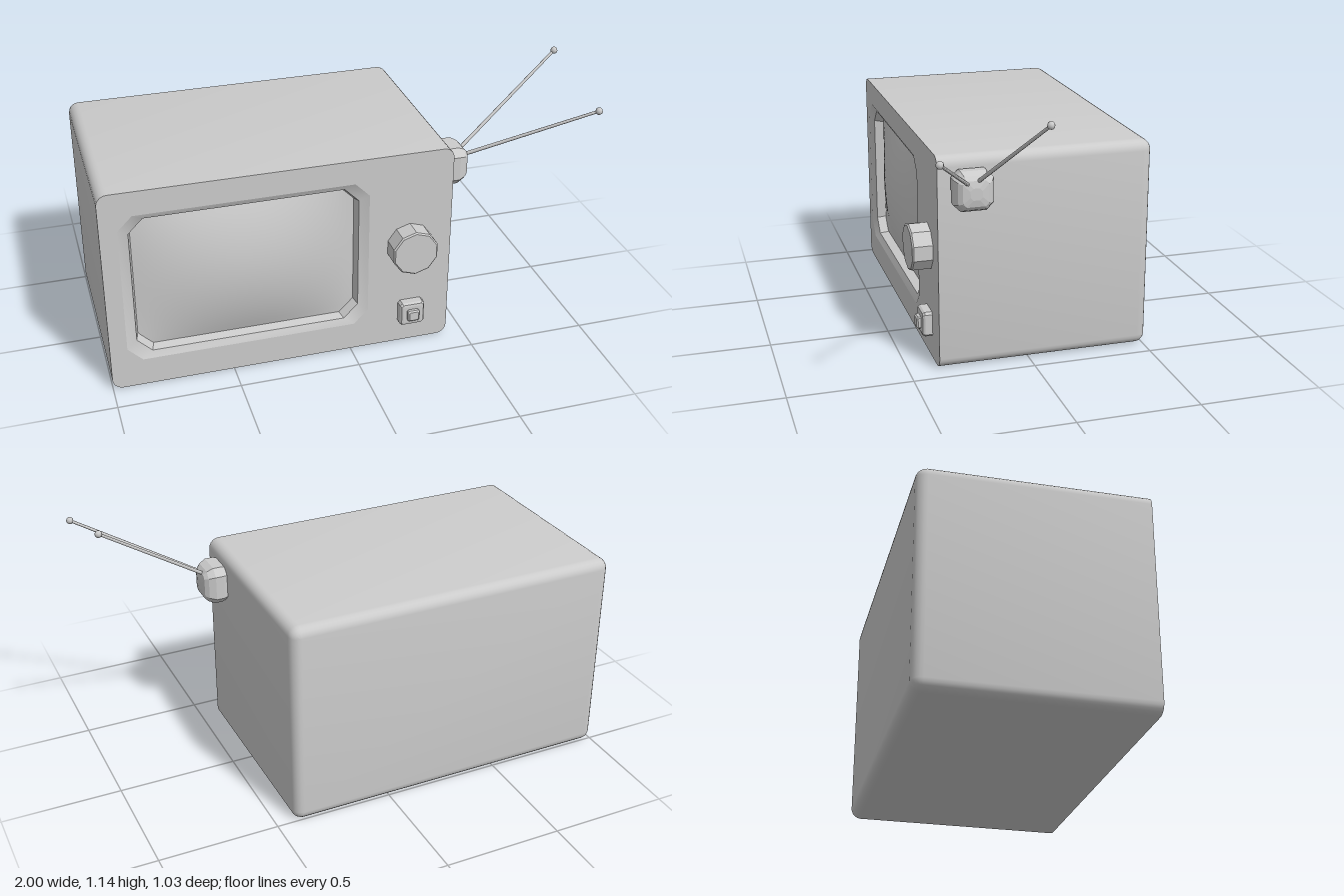
import * as THREE from 'three';
import { toCreasedNormals } from 'three/addons/utils/BufferGeometryUtils.js';

const material = new THREE.MeshStandardMaterial({ color: 0xcccccc });

function part(name, geometry, parent) {
  const mesh = new THREE.Mesh(geometry, material);
  mesh.name = name;
  parent.add(mesh);
  return mesh;
}

// Counter-clockwise rectangle with rounded corners (seg 1 gives a straight chamfer)
function roundRect(x0, x1, y0, y1, r, seg) {
  const corners = [[x1 - r, y0 + r], [x1 - r, y1 - r], [x0 + r, y1 - r], [x0 + r, y0 + r]];
  const points = [];
  corners.forEach(([cx, cy], k) => {
    for (let i = 0; i <= seg; i++) {
      const a = (k - 1 + i / seg) * Math.PI / 2;
      points.push(new THREE.Vector2(cx + r * Math.cos(a), cy + r * Math.sin(a)));
    }
  });
  return points;
}

// Skin over rings [{ points, z }] listed front to back, with optional end caps
function loft(rings, crease, capFront, capBack) {
  const position = [], index = [], n = rings[0].points.length;
  for (const { points, z } of rings) for (const p of points) position.push(p.x, p.y, z);
  for (let i = 0; i < rings.length - 1; i++) {
    for (let j = 0; j < n; j++) {
      const a = i * n + j, b = i * n + (j + 1) % n;
      index.push(a, a + n, b, b, a + n, b + n);
    }
  }
  const last = (rings.length - 1) * n;
  for (let j = 1; j < n - 1; j++) {
    if (capFront) index.push(0, j, j + 1);
    if (capBack) index.push(last, last + j + 1, last + j);
  }
  const geometry = new THREE.BufferGeometry();
  geometry.setAttribute('position', new THREE.Float32BufferAttribute(position, 3));
  geometry.setIndex(index);
  return toCreasedNormals(geometry, crease);
}

// Square block facing +z; steps are [half size, z, corner chamfer]
function block(steps) {
  return loft(steps.map(([h, z, c]) => ({ points: roundRect(-h, h, -h, h, c, 1), z })), 0.1, true, true);
}

export function createModel() {
  const model = new THREE.Group();
  model.name = 'television';
  const FRONT = 0.377, BACK = -0.512, R = 0.042, SEG = 5;
  const outline = (inset) => roundRect(-1 + inset, 0.428 - inset, inset, 0.885 - inset, R - inset + 0.001, SEG);

  // Cabinet: straight sides, rounded towards the back
  const rings = [{ points: outline(0), z: FRONT }];
  for (let i = 0; i <= SEG; i++) {
    const a = i / SEG * Math.PI / 2;
    rings.push({ points: outline(R * (1 - Math.cos(a))), z: BACK + R * (1 - Math.sin(a)) });
  }
  part('cabinet', loft(rings, 0.6, false, true), model);

  // Front panel with the screen opening
  const opening = roundRect(-0.93, 0.075, 0.12, 0.782, 0.06, 1);
  const panel = new THREE.Shape(outline(0));
  panel.holes.push(new THREE.Path(opening));
  part('frontPanel', new THREE.ShapeGeometry(panel), model).position.z = FRONT;

  // Sloping frame around the screen
  const DEPTH = 0.055;
  part('screenFrame', loft([
    { points: roundRect(-0.877, 0.025, 0.155, 0.75, 0.06, 1), z: FRONT - DEPTH },
    { points: roundRect(-0.888, 0.035, 0.147, 0.757, 0.06, 1), z: FRONT - 0.015 },
    { points: opening, z: FRONT },
  ], 0.7, false, false), model);

  // Bulging screen
  const screen = new THREE.PlaneGeometry(0.904, 0.597, 24, 18);
  const p = screen.attributes.position;
  for (let i = 0; i < p.count; i++) {
    const u = p.getX(i) / 0.452, v = p.getY(i) / 0.2985;
    p.setZ(i, (DEPTH + 0.004) * (1 - u * u) * (1 - v * v));
  }
  screen.computeVertexNormals();
  part('screen', screen, model).position.set(-0.426, 0.4525, FRONT - DEPTH);

  // Ten-sided tuning knob
  const profile = [[0.098, -0.01], [0.098, 0.077], [0.092, 0.083], [0, 0.083]];
  const knob = new THREE.LatheGeometry(profile.map(([x, y]) => new THREE.Vector2(x, y)), 10);
  knob.rotateX(Math.PI / 2);
  part('tuningKnob', toCreasedNormals(knob, 0.1), model).position.set(0.249, 0.469, FRONT);

  // Power button and its surround
  const power = new THREE.Group();
  power.name = 'powerSwitch';
  power.position.set(0.26, 0.148, FRONT);
  part('buttonBase', block([[0.038, 0.041, 0.004], [0.047, 0.039, 0.008], [0.053, 0.03, 0.01], [0.053, -0.01, 0.01]]), power);
  part('button', block([[0.019, 0.059, 0.004], [0.025, 0.053, 0.005], [0.025, 0.03, 0.005]]), power);
  model.add(power);

  // Antenna mount on the side
  const mount = block([[0.024, 0.097, 0.012], [0.052, 0.091, 0.014], [0.068, 0.077, 0.024],
    [0.081, 0.05, 0.03], [0.081, 0.015, 0.03], [0.074, -0.005, 0.025]]);
  mount.rotateY(Math.PI / 2);
  part('antennaMount', mount, model).position.set(0.428, 0.757, 0.246);

  // Two antenna rods with ball tips
  const rods = [
    [[0.5, 0.79, 0.272], [0.982, 1.027, 0.5]],
    [[0.5, 0.797, 0.238], [0.965, 1.13, 0.102]],
  ];
  for (const [from, to] of rods) {
    const a = new THREE.Vector3(...from), b = new THREE.Vector3(...to);
    const rod = part('antennaRod', new THREE.CylinderGeometry(0.006, 0.008, a.distanceTo(b), 8), model);
    rod.position.lerpVectors(a, b, 0.5);
    rod.quaternion.setFromUnitVectors(new THREE.Vector3(0, 1, 0), b.clone().sub(a).normalize());
    part('antennaTip', new THREE.SphereGeometry(0.015, 8, 6), model).position.copy(b);
  }
  return model;
}
